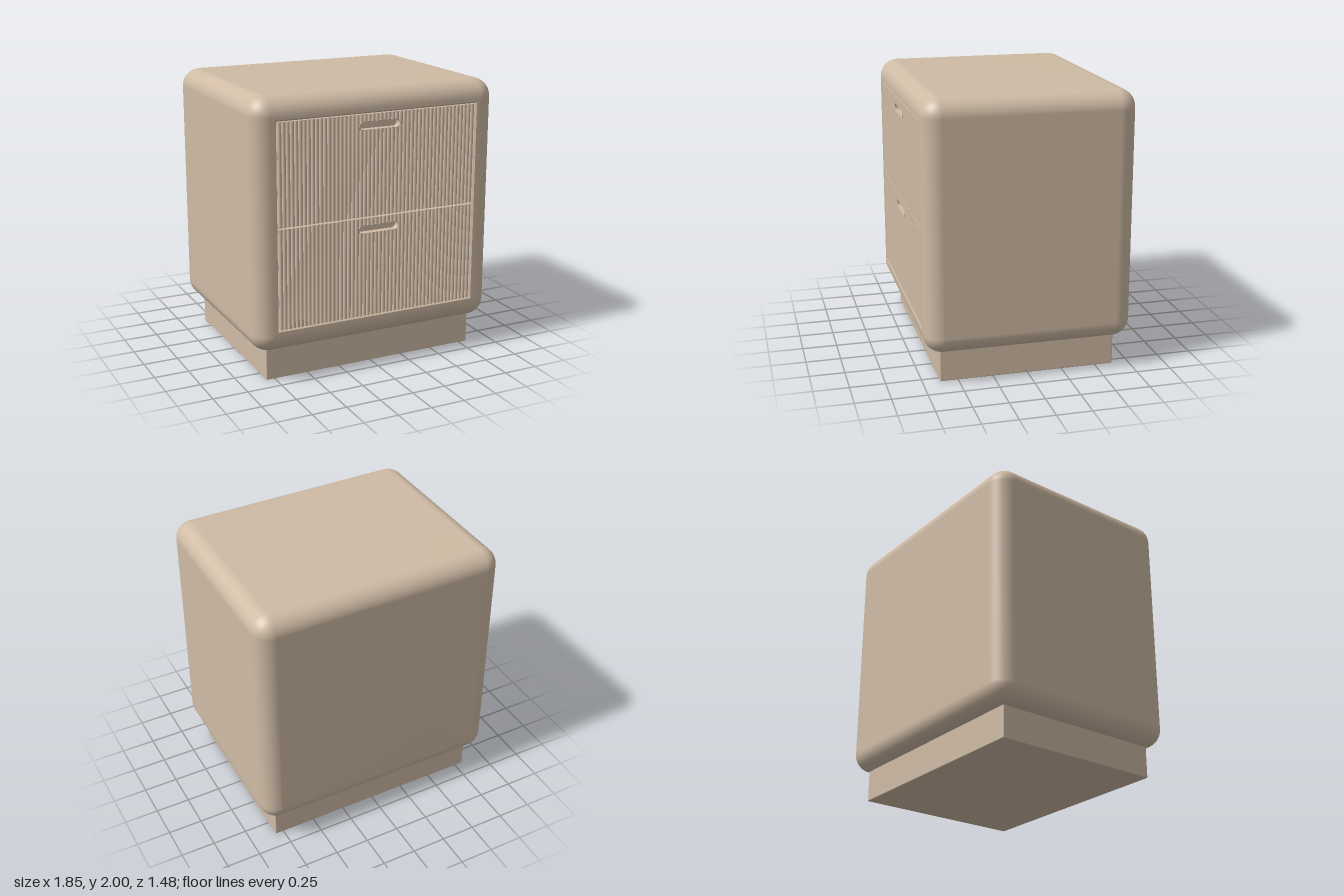
import * as THREE from 'three';
import { mergeGeometries } from 'three/addons/utils/BufferGeometryUtils.js';
import { RoundedBoxGeometry } from 'three/addons/geometries/RoundedBoxGeometry.js';

const W = 0.925, H = 0.8875, D = 0.74, CY = 1.1125; // cabinet half sizes and centre height
const R = 0.13, SEG = 10;                           // edge rounding
const FLOOR_Z = 0.69, PLATE = 0.036;                // recess floor and drawer plate

// Rounded rectangle loop, counter-clockwise seen from the front
function loop(hw, hh, r, z, cy = 0) {
  const pts = [];
  [[1, 1], [-1, 1], [-1, -1], [1, -1]].forEach(([sx, sy], k) => {
    for (let i = 0; i <= SEG; i++) {
      const a = (k + i / SEG) * Math.PI / 2;
      pts.push([sx * (hw - r) + r * Math.cos(a), cy + sy * (hh - r) + r * Math.sin(a), z]);
    }
  });
  return pts;
}

// Skin over loops running from back to front, closed at both ends
function skin(loops) {
  const n = loops[0].length, pos = loops.flat(2), idx = [];
  const back = loops.length * n, front = back + 1;
  pos.push(0, 0, loops[0][0][2], 0, 0, loops.at(-1)[0][2]);
  for (let j = 0; j < n; j++) {
    const k = (j + 1) % n, last = (loops.length - 1) * n;
    for (let i = 0; i < loops.length - 1; i++) {
      const a = i * n + j, b = i * n + k, c = b + n, d = a + n;
      idx.push(a, b, c, a, c, d);
    }
    idx.push(back, k, j, front, last + j, last + k);
  }
  const g = new THREE.BufferGeometry();
  g.setAttribute('position', new THREE.Float32BufferAttribute(pos, 3));
  g.setIndex(idx);
  g.computeVertexNormals();
  return g;
}

// Soft-edged cabinet with a rectangular recess in the front
function cabinetGeometry() {
  const loops = [];
  const edge = (a, sign) => {
    const inset = R * (1 - Math.cos(a));
    loops.push(loop(W - inset, H - inset, Math.max(R - inset, 0.002), sign * (D - R + R * Math.sin(a))));
  };
  for (let i = SEG; i >= 0; i--) edge(i / SEG * Math.PI / 2, -1);
  for (let i = 0; i <= SEG; i++) edge(i / SEG * Math.PI / 2, 1);
  // doubled loops keep the recess edges sharp
  const sharp = (hw, hh, z) => {
    for (let i = 0; i < 2; i++) loops.push(loop(hw, hh, 0.002, z, 0.0045));
  };
  sharp(0.767, 0.732, D);
  sharp(0.757, 0.722, D - 0.012);
  sharp(0.757, 0.722, FLOOR_Z);
  return skin(loops);
}

// Pill outline for the handle pocket
const PILL_W = 0.154, PILL_H = 0.029;
function pill(Type, y, r) {
  const p = new Type(), c = PILL_W - PILL_H;
  p.absarc(c, y, r, -Math.PI / 2, Math.PI / 2, false);
  p.absarc(-c, y, r, Math.PI / 2, Math.PI * 1.5, false);
  p.closePath();
  return p;
}

// Half-round upright rib
function rib(x, y0, y1, r) {
  const g = new THREE.CylinderGeometry(r, r, y1 - y0, 8, 1, false, -Math.PI / 2, Math.PI);
  return g.translate(x, (y0 + y1) / 2, FLOOR_Z + PLATE);
}

function createDrawer(name, y0, y1, material) {
  const drawer = new THREE.Group();
  drawer.name = name;
  const add = (geometry, part) => {
    const m = new THREE.Mesh(geometry, material);
    m.name = part;
    drawer.add(m);
  };
  const hw = 0.75, py = y1 - 0.079;

  // Backing plate with the pocket cut through
  const plate = new THREE.Shape([[-hw, y0], [hw, y0], [hw, y1], [-hw, y1]].map(p => new THREE.Vector2(...p)));
  plate.holes.push(pill(THREE.Path, py, PILL_H));
  add(new THREE.ExtrudeGeometry(plate, { depth: PLATE, bevelEnabled: false, curveSegments: 12 })
    .translate(0, 0, FLOOR_Z), 'drawerPlate');

  // Ribs, interrupted at the pocket
  const count = 50, pitch = 2 * hw / count, ribs = [];
  for (let i = 0; i < count; i++) {
    const x = -hw + (i + 0.5) * pitch, r = pitch * 0.48;
    if (Math.abs(x) < PILL_W) {
      const over = Math.max(0, Math.abs(x) - (PILL_W - PILL_H));
      const h = Math.sqrt(PILL_H ** 2 - over ** 2);
      ribs.push(rib(x, y0, py - h, r), rib(x, py + h, y1, r));
    } else ribs.push(rib(x, y0, y1, r));
  }
  add(mergeGeometries(ribs), 'drawerRibs');

  // Thin rim lining the pocket
  const rim = pill(THREE.Shape, py, PILL_H + 0.001);
  rim.holes.push(pill(THREE.Path, py, PILL_H - 0.001));
  add(new THREE.ExtrudeGeometry(rim, { depth: D - FLOOR_Z, bevelEnabled: false, curveSegments: 12 })
    .translate(0, 0, FLOOR_Z), 'handlePocketRim');
  return drawer;
}

export function createModel() {
  const model = new THREE.Group();
  model.name = 'bedsideCabinet';
  const material = new THREE.MeshStandardMaterial({ color: 0xcfbba5 });
  material.name = 'warm beige';

  const cabinet = new THREE.Mesh(cabinetGeometry(), material);
  cabinet.name = 'cabinet';
  cabinet.position.y = CY;

  // Plinth
  const plinth = new THREE.Mesh(new RoundedBoxGeometry(1.626, 0.26, 1.26, 2, 0.008), material);
  plinth.name = 'plinth';
  plinth.position.y = 0.13;

  model.add(cabinet, plinth,
    createDrawer('upperDrawer', 1.119, 1.835, material),
    createDrawer('lowerDrawer', 0.397, 1.109, material));
  return model;
}
